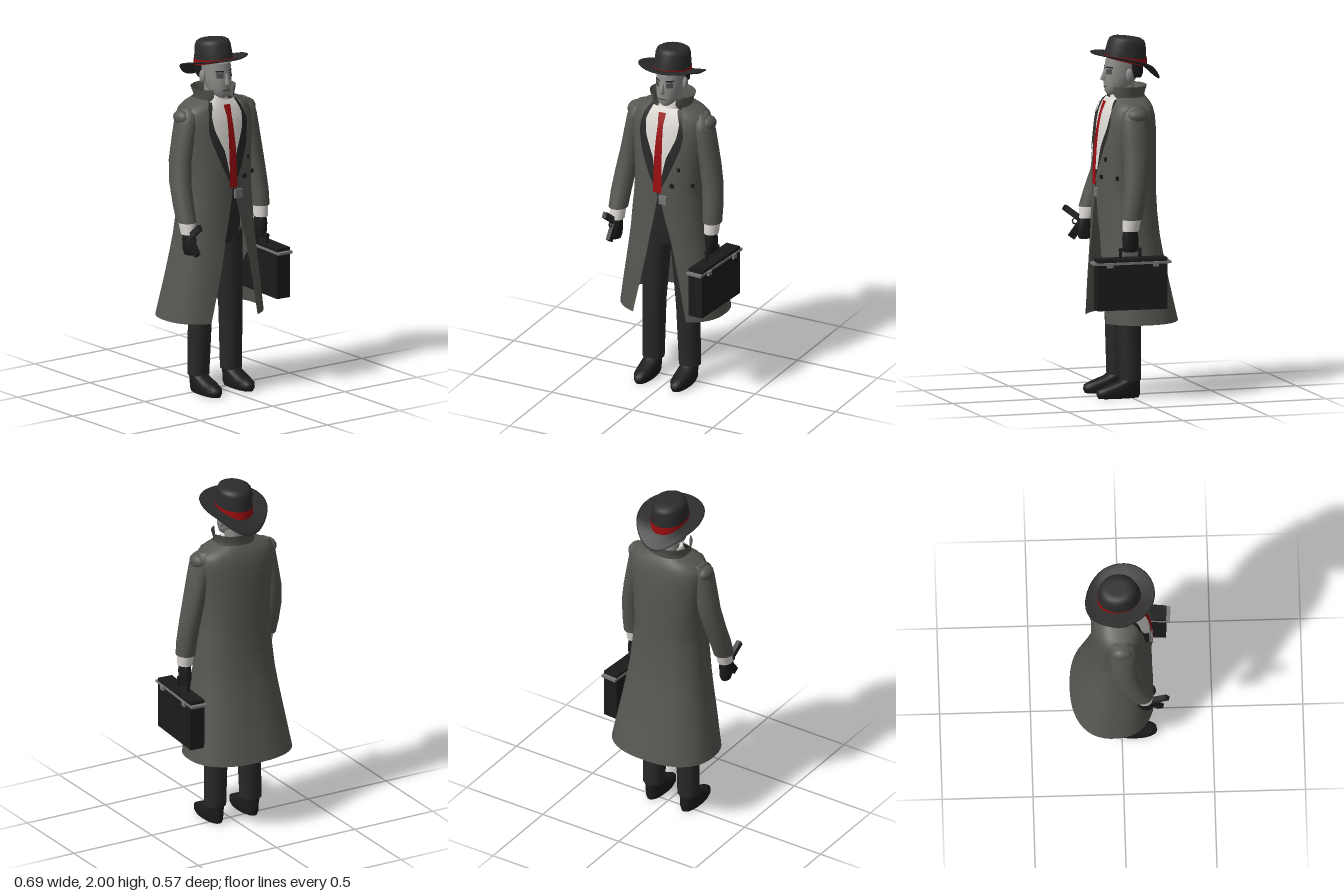
import * as THREE from 'three';

const mat = (name, color) => new THREE.MeshStandardMaterial({ name, color, side: THREE.DoubleSide });

// Power of a section: 1 is an ellipse, lower is boxier.
const pw = (v, p) => Math.sign(v) * Math.abs(v) ** p;

// Interpolates a row [y, half width, front z, back z, centre x, gap left, gap right].
function rowAt(rows, y) {
  let i = 0;
  while (i < rows.length - 2 && y > rows[i + 1][0]) i++;
  const k = THREE.MathUtils.clamp((y - rows[i][0]) / (rows[i + 1][0] - rows[i][0]), 0, 1);
  return rows[i].map((v, j) => v + (rows[i + 1][j] - v) * k);
}

// Front surface depth of a lofted body at x, y.
function frontZ(rows, x, y, p) {
  const [, a, f, b] = rowAt(rows, y);
  const s = Math.min(1, Math.abs(x) / a) ** (1 / p);
  return (f + b) / 2 + (f - b) / 2 * Math.sqrt(1 - s * s) ** p;
}

// Surface through rows of points.
function grid(rows, closed) {
  const n = rows[0].length, pos = rows.flat(2), idx = [];
  for (let r = 0; r < rows.length - 1; r++)
    for (let c = 0; c < (closed ? n : n - 1); c++) {
      const d = (c + 1) % n, A = r * n + c, B = r * n + d, C = B + n, D = A + n;
      idx.push(A, B, C, A, C, D);
    }
  const g = new THREE.BufferGeometry();
  g.setAttribute('position', new THREE.Float32BufferAttribute(pos, 3));
  g.setIndex(idx);
  g.computeVertexNormals();
  return g;
}

// Closed, capped body from horizontal sections listed from bottom to top.
function loft(rows, p = 1, n = 24, caps = true) {
  const out = rows.map(([y, a, f, b, cx = 0, tilt = 0]) => Array.from({ length: n }, (_, i) => {
    const t = i / n * Math.PI * 2;
    const z = (f + b) / 2 + (f - b) / 2 * pw(Math.cos(t), p);
    return [cx + a * pw(Math.sin(t), p), y + tilt * z, z];
  }));
  const cap = (row) => {
    const m = [0, 1, 2].map((k) => row.reduce((s, v) => s + v[k], 0) / n);
    return row.map(() => m);
  };
  if (caps) {
    const lo = out[0], hi = out[out.length - 1];
    out.unshift(cap(lo), lo);
    out.push(hi, cap(hi));
  }
  return grid(out, true);
}

// Body open at the front between its two gap edges.
function openLoft(rows, p, steps = 28, n = 40) {
  const y0 = rows[0][0], y1 = rows[rows.length - 1][0], out = [];
  for (let s = 0; s <= steps; s++) {
    const [y, a, f, b, , l, r] = rowAt(rows, y0 + (y1 - y0) * s / steps);
    const t0 = Math.asin(Math.min(1, r / a) ** (1 / p));
    const t1 = 2 * Math.PI - Math.asin(Math.min(1, -l / a) ** (1 / p));
    out.push(Array.from({ length: n + 1 }, (_, i) => {
      const t = t0 + (t1 - t0) * i / n;
      return [a * pw(Math.sin(t), p), y, (f + b) / 2 + (f - b) / 2 * pw(Math.cos(t), p)];
    }));
  }
  return grid(out, false);
}

// Thin panel lying on the front of a body; spans are [y, x0, x1] from bottom to top.
function panel(body, p, spans, offset, n = 10, steps = 16) {
  const y0 = spans[0][0], y1 = spans[spans.length - 1][0], out = [];
  for (let s = 0; s <= steps; s++) {
    const [y, a, b] = rowAt(spans, y0 + (y1 - y0) * s / steps);
    out.push(Array.from({ length: n + 1 }, (_, i) => {
      const x = a + (b - a) * i / n;
      return [x, y, frontZ(body, x, y, p) + offset];
    }));
  }
  return grid(out, false);
}

export function createModel() {
  const model = new THREE.Group();
  const man = new THREE.Group();
  man.name = 'man';
  man.position.x = -0.018;
  model.add(man);

  const coatM = mat('coat grey', 0x565751), suitM = mat('suit black', 0x282829), hatM = mat('hat black', 0x2b2b2c);
  const redM = mat('red', 0x9a0c10), whiteM = mat('shirt white', 0xdedad4), skinM = mat('skin grey', 0x8e8c89);
  const metalM = mat('metal', 0x777776), gloveM = mat('glove black', 0x1b1b1b), eyeM = mat('eye grey', 0x4c4b4a);

  const add = (name, geo, m, x = 0, y = 0, z = 0, parent = man) => {
    const mesh = new THREE.Mesh(geo, m);
    mesh.name = name;
    mesh.position.set(x, y, z);
    parent.add(mesh);
    return mesh;
  };
  const box = (...s) => new THREE.BoxGeometry(...s);

  // Long open coat
  const P = 0.85;
  const coat = [
    [0.425, 0.31, 0.19, -0.285, 0, -0.152, 0.173], [0.65, 0.272, 0.182, -0.235, 0, -0.1, 0.133],
    [0.8, 0.247, 0.175, -0.205, 0, -0.067, 0.103], [0.9, 0.232, 0.17, -0.187, 0, -0.05, 0.08],
    [1.02, 0.22, 0.167, -0.174, 0, -0.025, 0.045], [1.15, 0.206, 0.165, -0.168, 0, -0.002, 0.012],
    [1.18, 0.205, 0.165, -0.168, 0, -0.008, 0.012], [1.28, 0.206, 0.163, -0.168, 0, -0.06, 0.06],
    [1.4, 0.215, 0.155, -0.166, 0, -0.11, 0.11], [1.5, 0.226, 0.142, -0.163, 0, -0.136, 0.136],
    [1.57, 0.23, 0.128, -0.155, 0, -0.134, 0.134], [1.62, 0.212, 0.11, -0.142, 0, -0.118, 0.118],
    [1.645, 0.17, 0.1, -0.13, 0, -0.105, 0.105], [1.665, 0.115, 0.088, -0.115, 0, -0.09, 0.09]];
  add('coat', openLoft(coat, P, 48), coatM);
  add('coatCollar', openLoft([
    [1.645, 0.112, 0.085, -0.112, 0, -0.085, 0.085], [1.68, 0.115, 0.1, -0.115, 0, -0.065, 0.065],
    [1.725, 0.131, 0.1, -0.127, 0, -0.07, 0.07]], 1, 6, 32), coatM);
  for (const s of [-1, 1])
    add('coatLapel', panel(coat, P, [[1.17, s * 0.015, s * 0.005], [1.3, s * 0.1, s * 0.068],
      [1.44, s * 0.185, s * 0.122], [1.52, s * 0.19, s * 0.137], [1.62, s * 0.15, s * 0.118]], 0.007), coatM);

  // Suit, shirt and tie in the neckline
  add('suitFront', panel(coat, P, [[1.12, -0.05, 0.05], [1.28, -0.08, 0.08], [1.42, -0.13, 0.13],
    [1.54, -0.15, 0.15], [1.655, -0.1, 0.1]], -0.012), suitM);
  add('shirt', panel(coat, P, [[1.26, -0.016, 0.016], [1.38, -0.04, 0.04], [1.5, -0.092, 0.092],
    [1.58, -0.104, 0.104], [1.66, -0.075, 0.075]], -0.006), whiteM);
  add('shirtCollar', new THREE.CylinderGeometry(0.058, 0.08, 0.07, 24), whiteM, 0, 1.645, 0.01);
  add('tie', panel(coat, P, [[1.18, -0.026, 0.026], [1.4, -0.023, 0.023], [1.58, -0.016, 0.016],
    [1.6, -0.02, 0.02], [1.64, -0.022, 0.022]], 0.008), redM);

  // Buttons, buckle and pocket flap
  for (const [x, y] of [[0.113, 1.33], [0.213, 1.33], [0.083, 1.23], [0.178, 1.23]])
    add('button', box(0.022, 0.022, 0.012), gloveM, x, y, frontZ(coat, x, y, P) + 0.002);
  add('buckle', box(0.048, 0.05, 0.012), metalM, 0.034, 1.14, 0.17);
  add('pocketFlap', panel(coat, P, [[1.1, 0.05, 0.1], [1.125, 0.05, 0.1]], 0.004), coatM);

  // Hips and legs
  add('hips', loft([[0.84, 0.11, 0.09, -0.08], [0.92, 0.15, 0.11, -0.1], [1.2, 0.15, 0.12, -0.1]]), suitM);
  for (const s of [-1, 1]) {
    const x = s * 0.113;
    add('trouserLeg', loft([[0.1, 0.06, 0.057, -0.058, x], [0.45, 0.065, 0.07, -0.06, x - s * 0.008],
      [0.75, 0.075, 0.085, -0.075, x - s * 0.022], [0.9, 0.08, 0.09, -0.08, x - s * 0.03]], 0.9), suitM);
    add('shoe', loft([[0, 0.042, 0.185, -0.05, x], [0.02, 0.051, 0.195, -0.056, x], [0.045, 0.053, 0.192, -0.056, x],
      [0.065, 0.051, 0.15, -0.056, x], [0.09, 0.049, 0.075, -0.055, x], [0.115, 0.045, 0.045, -0.05, x]], 0.9), gloveM);
  }

  // Arms; the right forearm reaches forward
  for (const s of [-1, 1]) {
    const f = s < 0 ? 0.06 : 0; // extra forward reach at the wrist
    const arm = (y, x, z, r, rz) => [y, r, z + rz, z - rz, s * x];
    add('sleeve', loft([arm(1.015, 0.276, 0.045 + f, 0.053, 0.06), arm(1.1, 0.274, 0.034 + f * 0.7, 0.056, 0.063),
      arm(1.22, 0.264, 0.016 + f * 0.3, 0.058, 0.066), arm(1.34, 0.245, 0.008, 0.058, 0.071),
      arm(1.46, 0.222, 0.006, 0.058, 0.075), arm(1.55, 0.205, 0.005, 0.057, 0.076),
      arm(1.6, 0.195, 0, 0.052, 0.066), arm(1.63, 0.18, -0.01, 0.035, 0.04)]), coatM);
    const pad = add('shoulderPad', new THREE.SphereGeometry(1, 20, 12), coatM, s * 0.225, 1.578, -0.003);
    pad.scale.set(0.042, 0.042, 0.058);
    add('cuff', loft([arm(0.95, 0.275, 0.053 + f * 1.15, 0.04, 0.046), arm(1.03, 0.276, 0.045 + f, 0.046, 0.053)]), whiteM);
    add('glove', loft([arm(0.835, 0.275, 0.052 + f * 1.3, 0.024, 0.034), arm(0.86, 0.275, 0.052 + f * 1.3, 0.03, 0.045),
      arm(0.91, 0.275, 0.054 + f * 1.25, 0.033, 0.046), arm(0.96, 0.275, 0.053 + f * 1.15, 0.03, 0.038)]), gloveM);
  }

  // Pistol in the right hand
  const gun = new THREE.Group();
  gun.name = 'pistol';
  gun.position.set(-0.28, 0.925, 0.16);
  gun.rotation.set(-0.65, -0.08, 0);
  man.add(gun);
  add('barrel', box(0.026, 0.034, 0.15), hatM, 0, 0.018, 0.045, gun);
  add('muzzle', box(0.02, 0.024, 0.008), gloveM, 0, 0.018, 0.121, gun);
  add('grip', box(0.024, 0.1, 0.04), gloveM, 0, -0.045, -0.01, gun);
  add('triggerGuard', new THREE.TorusGeometry(0.016, 0.004, 6, 12), gloveM, 0, -0.008, 0.025, gun).rotation.y = Math.PI / 2;

  // Head, hair and face
  const head = [[1.674, 0.022, 0.092, 0.04], [1.69, 0.045, 0.106, 0.01], [1.73, 0.064, 0.112, -0.05],
    [1.79, 0.074, 0.111, -0.088], [1.87, 0.076, 0.1, -0.098]];
  add('head', loft(head, 0.95), skinM);
  add('neck', new THREE.CylinderGeometry(0.05, 0.052, 0.14, 20), skinM, 0, 1.68, -0.012);
  add('hair', loft([[1.768, 0.06, -0.03, -0.094], [1.79, 0.077, -0.015, -0.1], [1.865, 0.08, 0.0, -0.105]], 0.7), gloveM);
  add('mouth', panel(head, 0.95, [[1.717, -0.024, 0.024], [1.724, -0.026, 0.026]], 0.003, 6, 2), eyeM);
  add('nose', loft([[1.752, 0.013, 0.122, 0.09], [1.76, 0.014, 0.137, 0.09], [1.815, 0.007, 0.114, 0.09]], 1, 8), skinM);
  for (const s of [-1, 1]) {
    add('eye', panel(head, 0.95, [[1.79, s * 0.022, s * 0.053], [1.82, s * 0.022, s * 0.053]], 0.003, 4, 2), eyeM);
    add('brow', panel(head, 0.95, [[1.825, s * 0.018, s * 0.056], [1.833, s * 0.018, s * 0.056]], 0.004, 4, 2), gloveM);
    add('ear', new THREE.SphereGeometry(1, 12, 10), skinM, s * 0.08, 1.787, -0.008).scale.set(0.014, 0.036, 0.022);
  }

  // Tilted hat: brim with a dropped back, banded crown
  const brimY = (x, z) => 1.86 + 0.26 * z + 0.6 * x * x - 4.5 * Math.max(0, -0.085 - z) ** 2;
  const brim = [[0.09, -0.004], [0.14, -0.004], [0.18, -0.004], [0.187, 0], [0.18, 0.004], [0.14, 0.004], [0.09, 0.004]];
  add('hatBrim', grid(brim.map(([r, h]) => Array.from({ length: 40 }, (_, i) => {
    const t = i / 40 * Math.PI * 2, x = r * Math.sin(t), z = -0.007 + r * 1.03 * Math.cos(t);
    return [x, brimY(x, z) + h, z];
  })), true), hatM);
  add('hatCrown', loft([[1.855, 0.1, 0.11, -0.13, 0, 0.26], [1.9, 0.099, 0.102, -0.128, 0, 0.2],
    [1.96, 0.095, 0.086, -0.124, 0, 0.13], [1.98, 0.088, 0.076, -0.117, 0, 0.12], [1.991, 0.07, 0.055, -0.098, 0, 0.12],
    [1.992, 0.045, 0.03, -0.07, 0, 0.12]], 1, 36), hatM);
  add('hatBand', loft([[1.857, 0.102, 0.113, -0.134, 0, 0.26], [1.884, 0.102, 0.112, -0.133, 0, 0.12]], 1, 36, false), redM);

  // Briefcase in the left hand
  const bag = new THREE.Group();
  bag.name = 'briefcase';
  bag.position.set(0.277, 0, 0.058);
  bag.rotation.y = -0.068;
  model.add(bag);
  add('caseBody', box(0.086, 0.285, 0.397), gloveM, 0, 0.6625, 0, bag);
  add('caseFrame', box(0.092, 0.014, 0.44), metalM, 0, 0.78, 0, bag);
  for (const z of [-0.13, 0.13])
    add('latch', box(0.012, 0.025, 0.032), metalM, 0.05, 0.772, z, bag);
  for (const z of [-0.055, 0.055])
    add('handlePost', box(0.016, 0.05, 0.014), gloveM, -0.015, 0.825, z, bag);
  add('handleBar', box(0.022, 0.016, 0.124), gloveM, -0.015, 0.848, 0, bag);
  return model;
}
